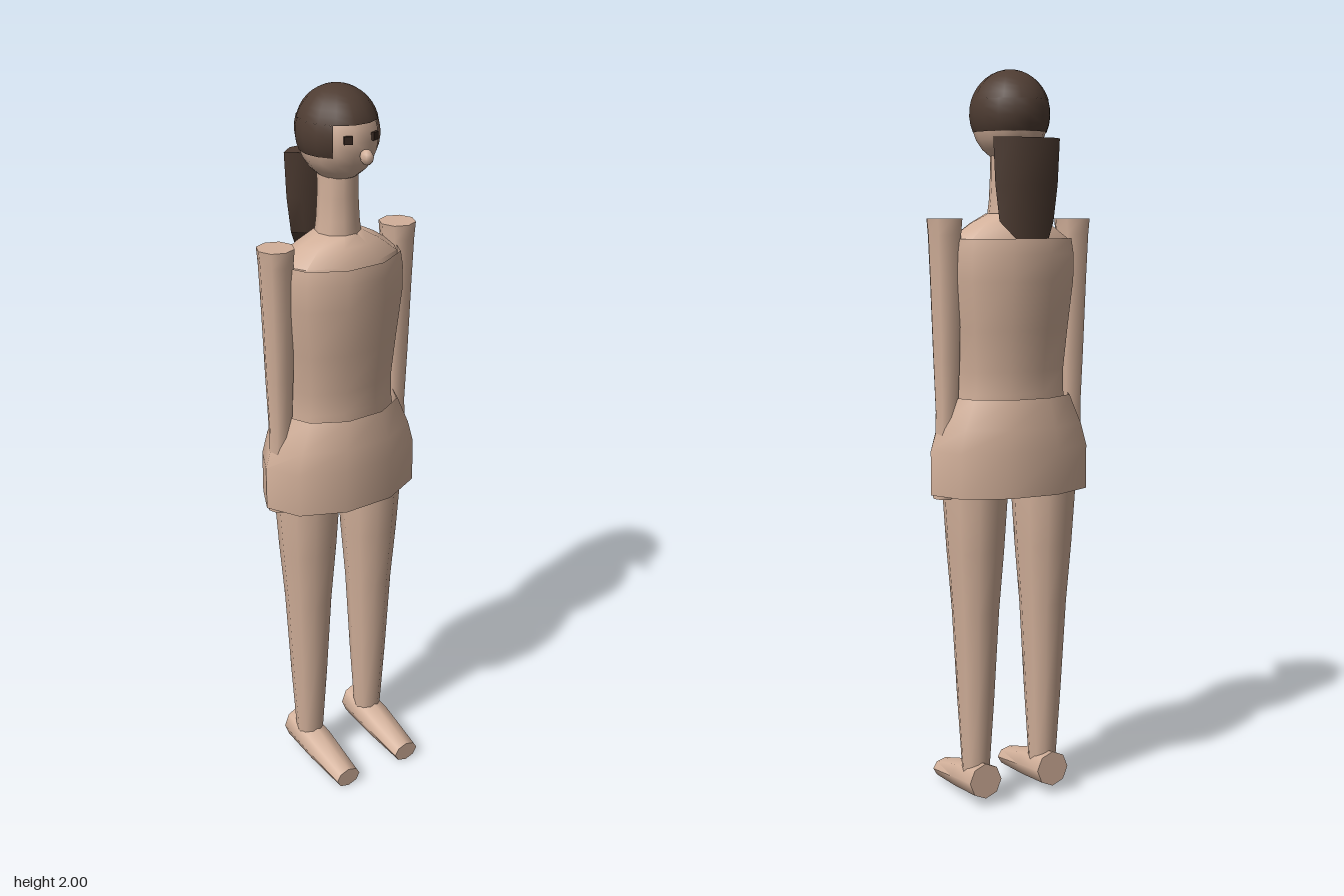
import * as THREE from 'three';
import { toCreasedNormals } from 'three/addons/utils/BufferGeometryUtils.js';

const AXIS_Z = -0.027;

export function createModel() {
  const model = new THREE.Group();
  const skin = new THREE.MeshStandardMaterial({ name: 'skin', color: 0xd2b09a });
  const cloth = new THREE.MeshStandardMaterial({ name: 'cloth', color: 0xd0ae98, side: THREE.DoubleSide });
  const hair = new THREE.MeshStandardMaterial({ name: 'hair', color: 0x4e3c32, side: THREE.DoubleSide });
  const eye = new THREE.MeshStandardMaterial({ name: 'eye', color: 0x35261f });

  function add(name, geometry, material, x = 0, y = 0, z = 0) {
    const mesh = new THREE.Mesh(geometry, material);
    mesh.name = name;
    mesh.position.set(x, y, z);
    model.add(mesh);
    return mesh;
  }

  // Loft through closed rings of equal point count, with optional end caps
  function loft(rings, capped = true) {
    const n = rings[0].length;
    const positions = rings.flat(2);
    const index = [];
    for (let r = 0; r < rings.length - 1; r++) {
      for (let i = 0; i < n; i++) {
        const a = r * n + i, b = r * n + (i + 1) % n;
        index.push(a, b, b + n, a, b + n, a + n);
      }
    }
    if (capped) {
      const top = (rings.length - 1) * n;
      for (let i = 1; i < n - 1; i++) {
        index.push(0, i + 1, i, top, top + i, top + i + 1);
      }
    }
    const g = new THREE.BufferGeometry();
    g.setAttribute('position', new THREE.Float32BufferAttribute(positions, 3));
    g.setIndex(index);
    return toCreasedNormals(g, 0.9);
  }

  // Upright elliptical form; each row is [y, x radius, z radius, x centre, z centre]
  function column(rows, sides, capped = true) {
    return loft(rows.map(([y, rx, rz, cx = 0, cz = AXIS_Z]) =>
      Array.from({ length: sides }, (_, i) => {
        const a = (i / sides) * Math.PI * 2;
        return [cx + Math.cos(a) * rx, y, cz - Math.sin(a) * rz];
      })), capped);
  }

  // Body under the clothes, up to the sloping shoulders
  add('body', column([
    [0.92, 0.19, 0.115], [1.14, 0.155, 0.095], [1.25, 0.155, 0.1],
    [1.45, 0.175, 0.12], [1.56, 0.175, 0.112], [1.6, 0.115, 0.085], [1.625, 0.065, 0.065],
  ], 10), skin);

  // Shirt and skirt as open shells
  add('shirt', column([
    [1.08, 0.175, 0.112], [1.15, 0.163, 0.108], [1.21, 0.162, 0.108], [1.32, 0.172, 0.122],
    [1.45, 0.187, 0.137], [1.52, 0.187, 0.138], [1.56, 0.18, 0.134],
  ], 10, false), cloth);
  add('skirt', column([
    [0.88, 0.236, 0.153], [1.0, 0.236, 0.152], [1.06, 0.217, 0.146], [1.14, 0.177, 0.133],
  ], 10, false), cloth);

  // Neck
  add('neck', column([
    [1.6, 0.063, 0.063], [1.66, 0.056, 0.056], [1.72, 0.053, 0.053], [1.8, 0.053, 0.053],
  ], 10), skin);

  // Head and nose
  add('head', new THREE.SphereGeometry(1, 14, 12), skin, 0, 1.875, AXIS_Z).scale.set(0.1, 0.117, 0.112);
  add('nose', new THREE.SphereGeometry(1, 8, 6), skin, 0, 1.842, 0.098).scale.set(0.016, 0.02, 0.02);

  // Hair: full crown, then a lower band left open at the face
  const opening = 0.75;
  const hairParts = [
    ['hairCrown', new THREE.SphereGeometry(1, 14, 8, 0, Math.PI * 2, 0, 1.262)],
    ['hairBand', new THREE.SphereGeometry(1, 12, 4, Math.PI / 2 + opening, Math.PI * 2 - opening * 2, 1.262, 0.738)],
  ];
  for (const [name, g] of hairParts) {
    add(name, g, hair, 0, 1.885, AXIS_Z - 0.002).scale.set(0.106, 0.115, 0.116);
  }

  // Hanging hair at the back, with a pointed lower edge
  const tailRing = (y, w, drop) => [
    [w * 0.7, y, -0.098], [w, y, -0.125], [w * 0.6, y - drop, -0.157],
    [-w * 0.6, y - drop, -0.157], [-w, y, -0.125], [-w * 0.7, y, -0.098],
  ];
  add('ponytail', loft([tailRing(1.605, 0.08, 0.045), tailRing(1.7, 0.092, 0), tailRing(1.82, 0.098, 0)]), hair);

  for (const s of [1, -1]) {
    const side = s > 0 ? 'left' : 'right';

    // Eye
    const e = add(side + 'Eye', new THREE.BoxGeometry(0.022, 0.02, 0.008), eye, s * 0.04, 1.885, 0.076);
    e.rotation.y = s * 0.42;

    // Arm with hand end tucked under the skirt
    add(side + 'Arm', column([
      [0.87, 0.028, 0.032, s * 0.2], [0.98, 0.028, 0.03, s * 0.195], [1.1, 0.032, 0.03, s * 0.188],
      [1.25, 0.038, 0.037, s * 0.188], [1.45, 0.043, 0.043, s * 0.19],
      [1.57, 0.046, 0.047, s * 0.192], [1.612, 0.05, 0.05, s * 0.192],
    ], 8), skin);

    // Leg
    add(side + 'Leg', column([
      [0.09, 0.038, 0.04, s * 0.105], [0.3, 0.052, 0.053, s * 0.105], [0.55, 0.066, 0.066, s * 0.105],
      [0.72, 0.08, 0.08, s * 0.105], [0.88, 0.09, 0.092, s * 0.105], [0.95, 0.09, 0.092, s * 0.105],
    ], 10), skin);

    // Foot, tapering from heel to toe
    const footRing = ([z, y, rx, ry]) => Array.from({ length: 8 }, (_, i) => {
      const a = (i / 8) * Math.PI * 2;
      return [s * 0.105 + Math.cos(a) * rx, y + Math.sin(a) * ry, z];
    });
    add(side + 'Foot', loft([
      [-0.09, 0.078, 0.048, 0.05], [0.03, 0.06, 0.048, 0.045], [0.173, 0.033, 0.039, 0.028],
    ].map(footRing)), skin);
  }
  return model;
}
